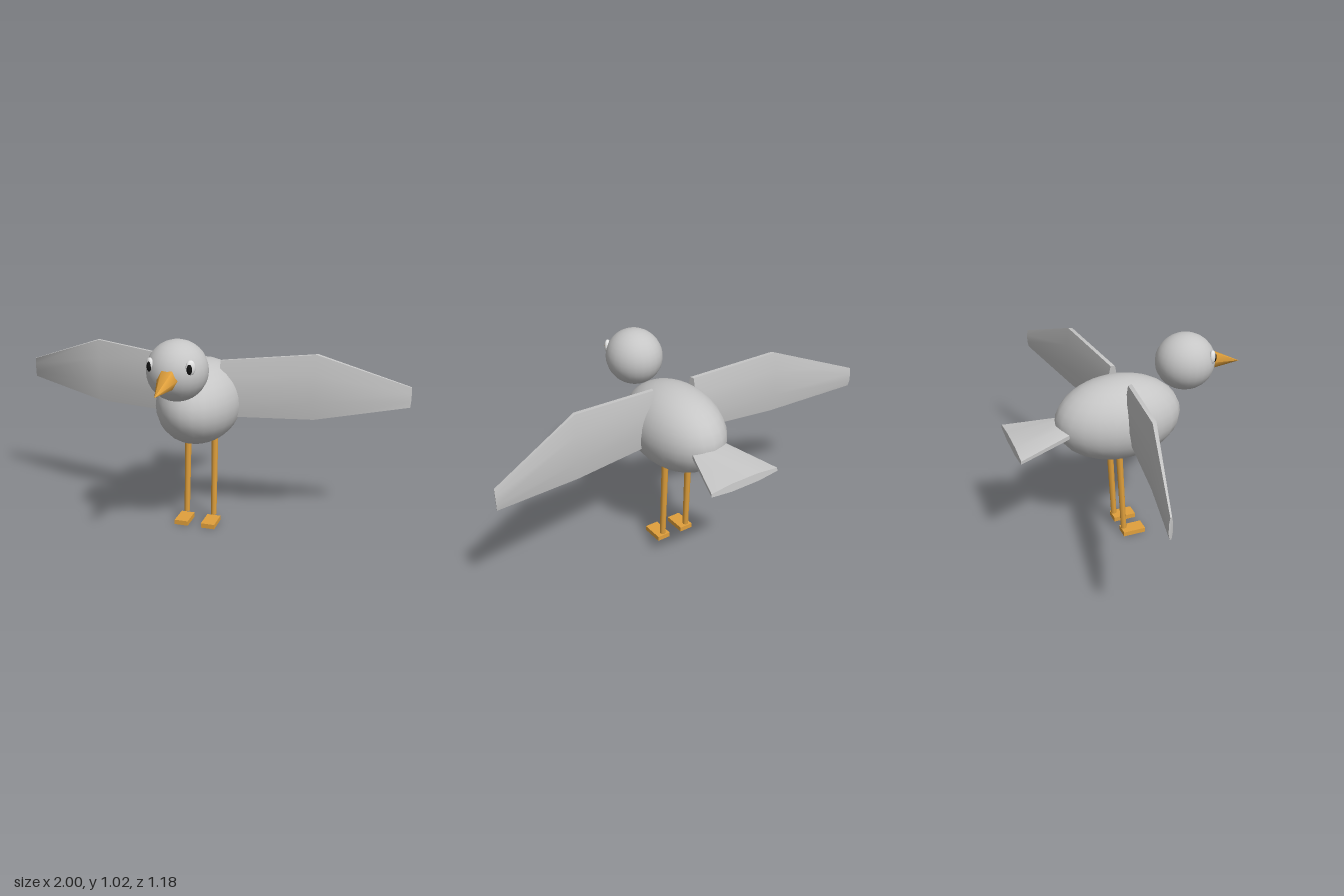
import * as THREE from 'three';
import { toCreasedNormals } from 'three/addons/utils/BufferGeometryUtils.js';

const V = (x, y, z) => new THREE.Vector3(x, y, z);

// Skin through equal-length rings, with flat caps at both ends
function loft(rings) {
  const n = rings[0].length, pos = [], idx = [];
  rings.forEach(r => r.forEach(p => pos.push(p.x, p.y, p.z)));
  for (let i = 0; i < rings.length - 1; i++) {
    for (let j = 0; j < n; j++) {
      const a = i * n + j, b = i * n + (j + 1) % n;
      idx.push(a, b, a + n, b, b + n, a + n);
    }
  }
  const last = (rings.length - 1) * n;
  for (let j = 1; j < n - 1; j++) {
    idx.push(0, j + 1, j, last, last + j, last + j + 1);
  }
  const g = new THREE.BufferGeometry();
  g.setAttribute('position', new THREE.Float32BufferAttribute(pos, 3));
  g.setIndex(idx);
  return toCreasedNormals(g, 1.05);
}

// Eight-sided oval section with flat top and bottom
const oval = fn => Array.from({ length: 8 }, (_, j) => {
  const a = (j + 0.5) * Math.PI / 4, k = Math.cos(Math.PI / 8);
  return fn(Math.cos(a) / k, Math.sin(a) / k);
});

export function createModel() {
  const group = new THREE.Group();
  const mat = (name, color) => {
    const m = new THREE.MeshStandardMaterial({ color });
    m.name = name;
    return m;
  };
  const plumage = mat('grey plumage', 0xc6c6c6);
  const orange = mat('orange', 0xe0a03c);
  const eyeWhite = mat('eye white', 0xe4e4e4);
  const black = mat('black', 0x111111);

  const add = (name, geometry, material, p = [0, 0, 0]) => {
    const m = new THREE.Mesh(geometry, material);
    m.name = name;
    m.position.set(...p);
    group.add(m);
    return m;
  };
  const ball = (name, material, p, s, w = 24, h = 16) => {
    const m = add(name, new THREE.SphereGeometry(1, w, h), material, p);
    m.scale.set(...s);
    return m;
  };
  // Tapered round rod from a to b
  const rod = (name, material, a, b, ra, rb, sides) => {
    const d = b.clone().sub(a);
    const g = new THREE.CylinderGeometry(rb, ra, d.length(), sides);
    const m = add(name, g, material, a.clone().add(b).multiplyScalar(0.5).toArray());
    m.quaternion.setFromUnitVectors(V(0, 1, 0), d.normalize());
    return m;
  };

  // Body and head
  ball('body', plumage, [0, 0.645, -0.055], [0.205, 0.207, 0.315]);
  ball('head', plumage, [0, 0.879, 0.292], [0.14, 0.139, 0.147]);

  // Beak
  rod('beak', orange, V(0, 0.872, 0.4), V(0, 0.833, 0.587), 0.056, 0.0005, 6).rotateY(Math.PI / 6);

  // Tail fan, widening to the rear
  const tail = [[-0.33, 0.632, 0.095, 0.026], [-0.587, 0.6, 0.185, 0.019]];
  add('tail', loft(tail.map(([z, y, w, h]) =>
    oval((c, s) => V(c * w, y - s * h, z - s * h * 0.12)))), plumage);

  // Wing stations: x, centre y, centre z, half height, half thickness
  const stations = [
    [0.112, 0.717, -0.038, 0.14, 0.025],
    [0.56, 0.74, -0.108, 0.16, 0.024],
    [0.995, 0.695, -0.225, 0.05, 0.01],
  ];

  for (const side of [1, -1]) {
    const label = side > 0 ? 'left' : 'right';

    const rings = stations.map(([x, y, z, h, t]) => {
      const ring = oval((c, s) => V(side * (x - s * t * 0.3), y + THREE.MathUtils.clamp(c, -1, 1) * h, z + s * t));
      return side > 0 ? ring : ring.reverse();
    });
    add(label + 'Wing', loft(rings), plumage);

    // Eye and pupil, turned outward
    const eye = ball(label + 'Eye', eyeWhite, [side * 0.093, 0.919, 0.39], [0.023, 0.034, 0.015], 16, 12);
    const pupil = ball(label + 'Pupil', black, [side * 0.092, 0.915, 0.402], [0.013, 0.023, 0.01], 16, 12);
    eye.rotation.y = pupil.rotation.y = side * 0.75;

    // Leg and foot
    rod(label + 'Leg', orange, V(side * 0.072, 0.035, -0.056), V(side * 0.07, 0.458, -0.076), 0.015, 0.017, 8);
    add(label + 'Foot', new THREE.BoxGeometry(0.07, 0.024, 0.116), orange, [side * 0.07, 0.012, -0.008]);
  }
  return group;
}
